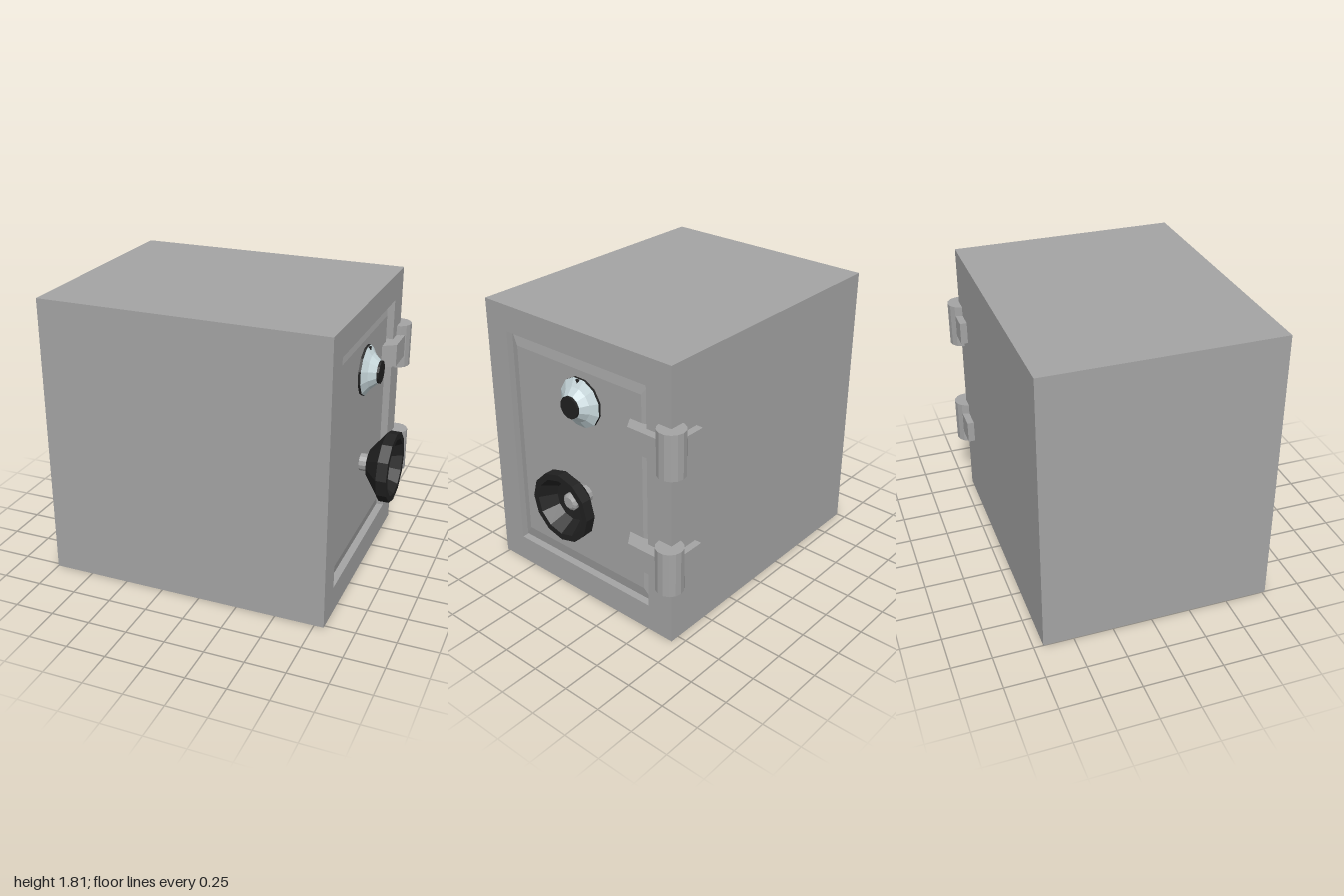
import * as THREE from 'three';

const mat = (color) => new THREE.MeshStandardMaterial({ color, flatShading: true });
const grey = mat(0xa4a4a4), black = mat(0x212121), silver = mat(0xc8d8dc);

// rectangle outline from corner to corner
function rect(Type, u0, v0, u1, v1) {
  return new Type([[u0, v0], [u1, v0], [u1, v1], [u0, v1]].map(([u, v]) => new THREE.Vector2(u, v)));
}

export function createModel() {
  const safe = new THREE.Group();
  safe.name = 'safe';

  const add = (parent, name, geometry, material = grey) => {
    const mesh = new THREE.Mesh(geometry, material);
    mesh.name = name;
    parent.add(mesh);
    return mesh;
  };
  const box = (x0, x1, y0, y1, z0, z1) =>
    new THREE.BoxGeometry(x1 - x0, y1 - y0, z1 - z0)
      .translate((x0 + x1) / 2, (y0 + y1) / 2, (z0 + z1) / 2);
  // turned part around the x axis; profile is [radius, x]
  const turned = (profile, y, z, turn = 0) =>
    new THREE.LatheGeometry(profile.map(([r, x]) => new THREE.Vector2(r, x)), 12, turn)
      .rotateZ(-Math.PI / 2).translate(0, y, z);

  // body, with a frame around the recessed door
  add(safe, 'body', box(-1, 0.75, 0, 1.81, -0.69, 0.77));
  const frame = rect(THREE.Shape, -0.6, 0.175, 0.51, 1.64);
  const rim = rect(THREE.Shape, -0.77, 0, 0.69, 1.81);
  rim.holes.push(frame);
  add(safe, 'doorFrame', new THREE.ExtrudeGeometry(rim, { depth: 0.06, bevelEnabled: false })
    .rotateY(Math.PI / 2).translate(0.75, 0, 0));

  // door panel: a slab whose border slopes up to a smaller front face
  add(safe, 'doorSlab', box(0.74, 0.766, 0.18, 1.63, -0.5, 0.6));
  const panel = new THREE.BoxGeometry(0.014, 1.45, 1.1);
  const p = panel.attributes.position;
  for (let i = 0; i < p.count; i++) {
    if (p.getX(i) > 0) p.setXYZ(i, p.getX(i), p.getY(i) * 0.895, p.getZ(i) * 0.905);
  }
  add(safe, 'doorPanel', panel.translate(0.773, 0.905, 0.05));

  // combination dial
  const dial = new THREE.Group();
  dial.name = 'combinationDial';
  safe.add(dial);
  const dy = 1.355, dz = 0.017, turn = Math.PI / 12;
  add(dial, 'dialBase', turned([[0, 0.76], [0.157, 0.76], [0.157, 0.795], [0, 0.795]], dy, dz, turn), black);
  add(dial, 'dialRing', turned([[0.157, 0.795], [0.11, 0.825], [0.072, 0.868], [0, 0.868]], dy, dz, turn), silver);
  add(dial, 'dialKnob', turned([[0.07, 0.86], [0.07, 0.882], [0, 0.882]], dy, dz, turn), black);
  const tick = new THREE.Shape([[-0.012, 0.012], [0, -0.012], [0.012, 0.012]].map(([u, v]) => new THREE.Vector2(u, v)));
  add(dial, 'dialMark', new THREE.ExtrudeGeometry(tick, { depth: 0.03, bevelEnabled: false })
    .rotateY(Math.PI / 2).translate(0.78, dy + 0.138, dz), black);

  // cupped handwheel on its spindle
  const wheel = new THREE.Group();
  wheel.name = 'handwheel';
  safe.add(wheel);
  const wy = 0.741, wz = 0.012;
  add(wheel, 'wheelCup', turned([
    [0, 0.835], [0.09, 0.835], [0.222, 0.935], [0.222, 1], [0.182, 1], [0.125, 0.9], [0, 0.89],
  ], wy, wz), black);
  add(wheel, 'spindle', turned([[0.055, 0.76], [0.055, 0.915], [0.036, 0.93], [0, 0.93]], wy, wz));

  // hinges wrapped round the rear corner: arm front x, arm end z and its slope length differ
  for (const [name, bx, by, height, ay, front, end, slope] of [
    ['upperHinge', 0.80, 1.298, 0.285, 1.307, 0.862, -0.355, 0.06],
    ['lowerHinge', 0.817, 0.541, 0.29, 0.548, 0.88, -0.338, 0.08],
  ]) {
    const hinge = new THREE.Group();
    hinge.name = name;
    safe.add(hinge);
    add(hinge, 'barrel', new THREE.CylinderGeometry(0.086, 0.086, height, 14).translate(bx, by, -0.682));
    const arm = new THREE.Shape([
      [0.77, -end], [front, -end + slope], [front, 0.622], [0.77, 0.622],
    ].map(([x, u]) => new THREE.Vector2(x, u)));
    add(hinge, 'doorArm', new THREE.ExtrudeGeometry(arm, { depth: 0.145, bevelEnabled: false })
      .rotateX(-Math.PI / 2).translate(0, ay - 0.0725, 0));
    add(hinge, 'bodyArm', box(0.6, 0.77, ay - 0.0725, ay + 0.0725, -0.735, -0.67));
  }
  return safe;
}
